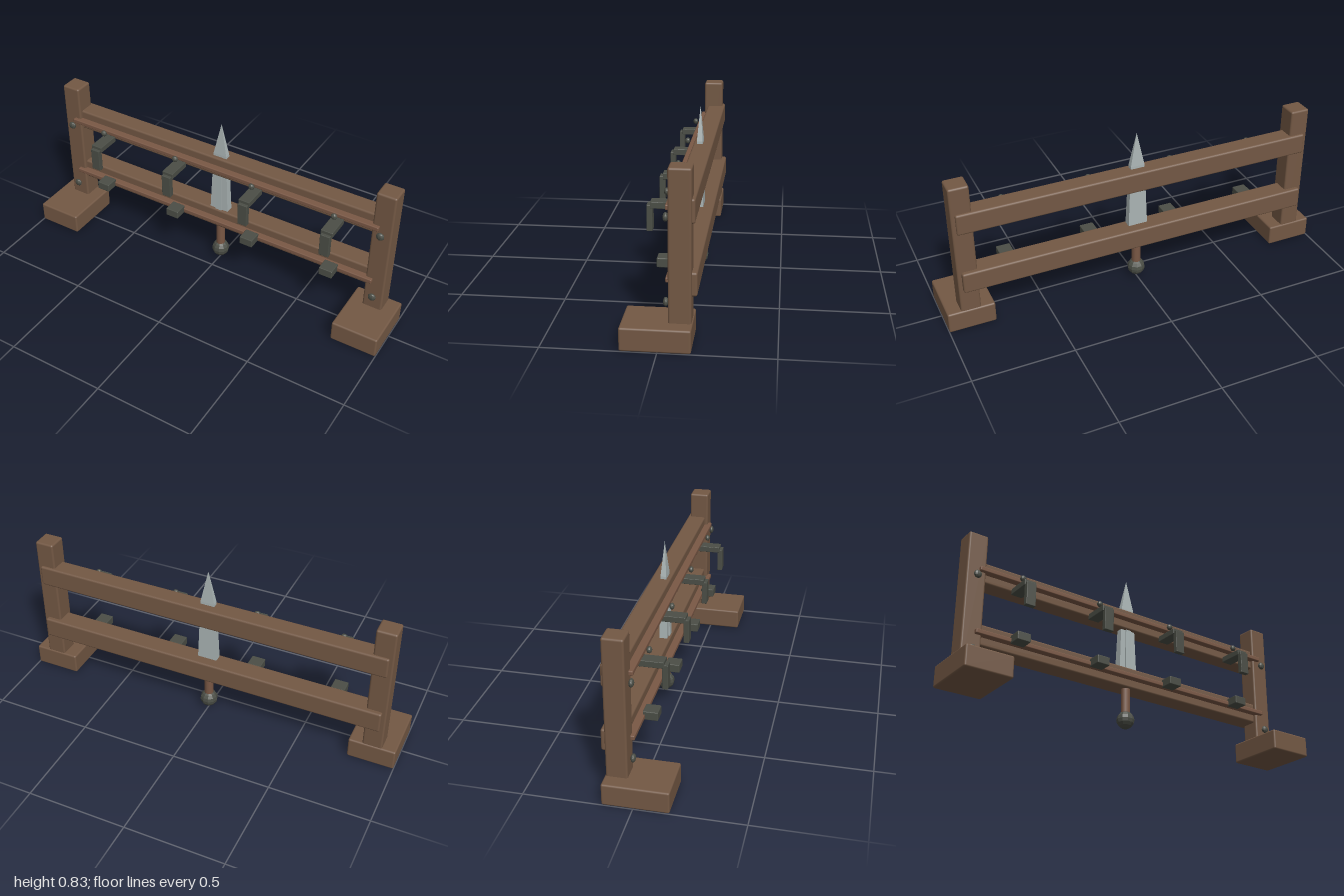
import * as THREE from 'three';
import { RoundedBoxGeometry } from 'three/addons/geometries/RoundedBoxGeometry.js';

export function createModel() {
  const rack = new THREE.Group();
  rack.name = 'rack';

  const material = (name, color, flatShading = false) => {
    const m = new THREE.MeshStandardMaterial({ color, flatShading });
    m.name = name;
    return m;
  };
  const wood = material('wood', 0x735844);
  const trim = material('trim wood', 0x7a5845);
  const iron = material('dark iron', 0x4b4e46, true);
  const steel = material('steel', 0xa9b3b3, true);

  const add = (name, geometry, mat, x, y, z) => {
    const mesh = new THREE.Mesh(geometry, mat);
    mesh.name = name;
    mesh.position.set(x, y, z);
    rack.add(mesh);
    return mesh;
  };
  // Rounded block given by its extents on each axis
  const block = (name, mat, [x0, x1], [y0, y1], [z0, z1], r) =>
    add(name, new RoundedBoxGeometry(x1 - x0, y1 - y0, z1 - z0, 2, r), mat,
      (x0 + x1) / 2, (y0 + y1) / 2, (z0 + z1) / 2);
  const ball = (name, r, depth, x, y, z) =>
    add(name, new THREE.SphereGeometry(r, 10, 8).scale(1, 1, depth / r), iron, x, y, z);
  // Four-sided tapered bar with half widths at top and bottom
  const taper = (name, top, bottom, y0, y1, thin, z) => {
    const g = new THREE.CylinderGeometry(top * Math.SQRT2, bottom * Math.SQRT2, y1 - y0, 4)
      .rotateY(Math.PI / 4).scale(1, 1, thin);
    return add(name, g, steel, 0, (y0 + y1) / 2, z);
  };

  // Feet, posts and post rivets
  for (const [side, s] of [['left', 1], ['right', -1]]) {
    const span = (a, b) => (s > 0 ? [a, b] : [-b, -a]);
    block(side + 'Foot', wood, span(0.765, 1), [0, 0.106], [-0.142, 0.162], 0.009);
    block(side + 'Post', wood, span(0.833, 0.932), [0.09, 0.781], [-0.137, -0.038], 0.01);
    for (const y of [0.182, 0.558]) ball(side + 'PostRivet', 0.02, 0.012, s * 0.882, y, -0.024);
  }

  // Cross rails with the thin strips along their fronts
  block('upperRail', wood, [-0.912, 0.912], [0.54, 0.647], [-0.15, -0.055], 0.01);
  block('lowerRail', wood, [-0.912, 0.912], [0.221, 0.328], [-0.16, -0.055], 0.01);
  block('upperStrip', trim, [-0.87, 0.87], [0.582, 0.605], [-0.058, -0.02], 0.005);
  block('lowerStrip', trim, [-0.87, 0.87], [0.262, 0.285], [-0.058, -0.02], 0.005);

  // Hooks, strip rivets and lower rests
  for (const x of [-0.657, -0.219, 0.219, 0.657]) {
    block('hookArm', iron, [x - 0.03, x + 0.03], [0.525, 0.556], [-0.06, 0.068], 0.003);
    block('hookDrop', iron, [x - 0.025, x + 0.025], [0.42, 0.54], [0.058, 0.084], 0.003);
    ball('stripRivet', 0.016, 0.013, x, 0.597, -0.003);
    block('lowerRest', iron, [x - 0.035, x + 0.035], [0.257, 0.3], [-0.03, 0.04], 0.004);
  }

  // Upright blade held between the rails, point upward
  const bladeZ = -0.088;
  taper('blade', 0.036, 0.052, 0.28, 0.66, 0.4, bladeZ);
  taper('bladePoint', 0, 0.036, 0.66, 0.832, 0.4, bladeZ);
  taper('bladeRidge', 0.014, 0.018, 0.3, 0.6, 0.7, bladeZ + 0.014);

  // Grip and pommel
  add('grip', new THREE.CylinderGeometry(0.023, 0.023, 0.2, 10), trim, 0, 0.18, bladeZ);
  ball('pommel', 0.045, 0.045, 0, 0.058, bladeZ);

  return rack;
}
